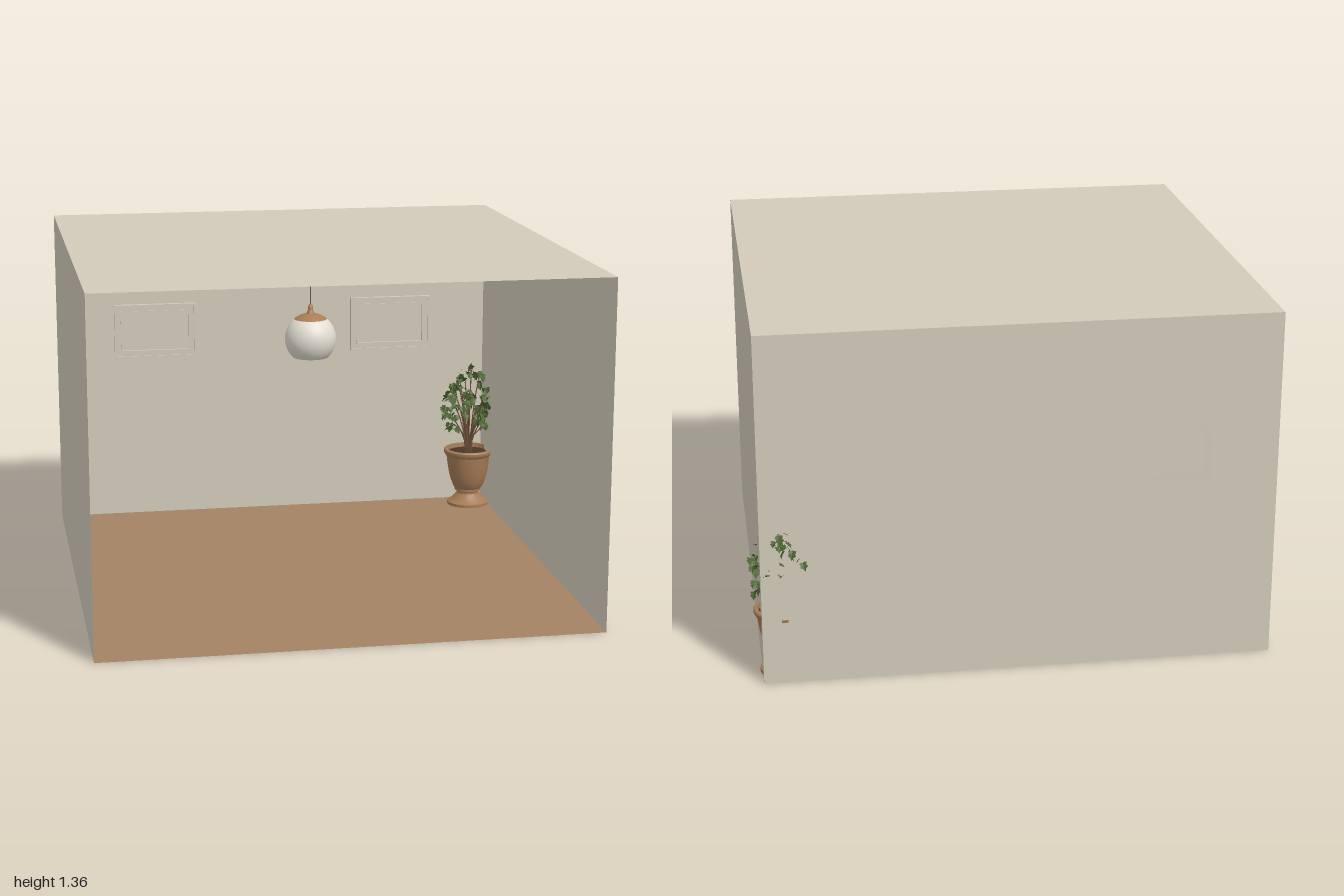
import * as THREE from 'three';
import { mergeGeometries, toCreasedNormals } from 'three/addons/utils/BufferGeometryUtils.js';

const mat = (name, color, side = THREE.FrontSide) => {
  const m = new THREE.MeshStandardMaterial({ color, side });
  m.name = name;
  return m;
};

const X0 = -0.98, X1 = 0.945, Z0 = -0.93, Z1 = 1, H = 1.355;

export function createModel() {
  const group = new THREE.Group();
  const wall = mat('wall plaster', 0xd2cbbb, THREE.DoubleSide);
  const wood = mat('floor wood', 0xa48262, THREE.DoubleSide);
  const moulding = mat('frame moulding', 0xd0cabb);
  const glass = mat('lamp glass', 0xe2ded2, THREE.DoubleSide);
  const copper = mat('lamp copper', 0xa97c55);
  const cordMat = mat('lamp cord', 0x6b5a4a);
  const clay = mat('terracotta', 0xa67c57, THREE.DoubleSide);
  const soilMat = mat('soil', 0x4a3626);
  const bark = mat('bark', 0x6e4f37);
  const leafMat = mat('leaf green', 0x4b6332, THREE.DoubleSide);

  const add = (name, geo, material, parent = group) => {
    const m = new THREE.Mesh(geo, material);
    m.name = name;
    parent.add(m);
    return m;
  };
  const sub = (name, x, y, z) => {
    const g = new THREE.Group();
    g.name = name;
    g.position.set(x, y, z);
    group.add(g);
    return g;
  };
  const lathe = (pts, seg = 40) => toCreasedNormals(
    new THREE.LatheGeometry(pts.map(p => new THREE.Vector2(...p)), seg), 0.6);

  // Room shell, open at the front
  const W = X1 - X0, D = Z1 - Z0, cx = (X0 + X1) / 2, cz = (Z0 + Z1) / 2;
  const panel = (name, w, h, pos, rx, ry, material) => {
    const m = add(name, new THREE.PlaneGeometry(w, h), material);
    m.position.set(...pos);
    m.rotation.set(rx, ry, 0);
  };
  panel('floor', W, D, [cx, 0, cz], -Math.PI / 2, 0, wood);
  panel('ceiling', W, D, [cx, H, cz], Math.PI / 2, 0, wall);
  panel('backWall', W, H, [cx, H / 2, Z0], 0, 0, wall);
  panel('leftWall', D, H, [X1, H / 2, cz], 0, -Math.PI / 2, wall);
  panel('rightWall', D, H, [X0, H / 2, cz], 0, Math.PI / 2, wall);

  // Stepped picture frames on the back wall
  const ring = (w, h, t, depth) => {
    const rect = (s, a, b) => s.moveTo(-a, -b).lineTo(a, -b).lineTo(a, b).lineTo(-a, b).closePath();
    const s = rect(new THREE.Shape(), w / 2, h / 2);
    s.holes.push(rect(new THREE.Path(), w / 2 - t, h / 2 - t));
    return new THREE.ExtrudeGeometry(s, { depth, bevelEnabled: false });
  };
  for (const x of [-0.548, 0.512]) {
    const f = sub('pictureFrame', x, 0.832, Z0);
    add('outerLip', ring(0.362, 0.24, 0.01, 0.02), moulding, f);
    add('frameBody', ring(0.342, 0.22, 0.018, 0.014), moulding, f);
    add('innerLip', ring(0.306, 0.184, 0.007, 0.018), moulding, f);
    add('picturePanel', new THREE.BoxGeometry(0.293, 0.171, 0.005), wall, f).position.z = 0.0035;
  }

  // Pendant lamp
  const lamp = sub('pendantLamp', cx, 0, cz);
  const R = 0.103, cut = 0.68;
  add('globeShade', new THREE.SphereGeometry(R, 40, 24, 0, Math.PI * 2, cut, 2.386 - cut), glass, lamp).position.y = 0.97;
  add('globeCap', new THREE.SphereGeometry(R + 0.001, 40, 8, 0, Math.PI * 2, 0, cut), copper, lamp).position.y = 0.97;
  add('socket', lathe([[0.018, 1.068], [0.014, 1.08], [0.011, 1.085], [0.011, 1.1], [0.004, 1.112], [0, 1.112]], 20), copper, lamp);
  add('cord', new THREE.CylinderGeometry(0.002, 0.002, 0.24, 8), cordMat, lamp).position.y = 1.225;
  add('ceilingRose', lathe([[0, 1.332], [0.008, 1.335], [0.012, 1.342], [0.03, 1.347], [0.033, 1.353]], 24), copper, lamp);

  // Urn planter
  const px = 0.86, pz = -0.82;
  const plant = sub('pottedPlant', px, 0, pz);
  add('pot', lathe([
    [0, 0.001], [0.093, 0.001], [0.093, 0.014], [0.084, 0.018], [0.062, 0.038], [0.05, 0.054], [0.05, 0.062],
    [0.059, 0.067], [0.059, 0.077], [0.066, 0.085], [0.078, 0.115], [0.087, 0.15], [0.094, 0.19],
    [0.099, 0.23], [0.106, 0.235], [0.111, 0.245], [0.111, 0.255], [0.107, 0.26], [0.096, 0.26], [0.093, 0.235],
  ]), clay, plant);
  const soil = add('soil', new THREE.CircleGeometry(0.094, 32), soilMat, plant);
  soil.rotation.x = -Math.PI / 2;
  soil.position.y = 0.242;

  // Branch tips: offsets from the pot axis
  const tips = [
    [0.092, 0.36, -0.02], [0.095, 0.435, 0.025], [0.092, 0.435, -0.045], [0.01, 0.585, -0.135],
    [-0.02, 0.55, -0.1], [0.03, 0.47, -0.1], [-0.05, 0.51, -0.09], [-0.115, 0.44, 0.01],
    [-0.09, 0.39, 0.04], [0.01, 0.62, -0.01], [-0.06, 0.58, 0.02], [0.05, 0.585, -0.02],
    [0.075, 0.53, 0.03], [-0.02, 0.52, 0.08], [0.03, 0.44, 0.09], [-0.06, 0.46, 0.07],
    [0.0, 0.5, 0.0], [-0.08, 0.49, -0.03], [0.04, 0.4, 0.05], [0.05, 0.49, 0.07],
  ];
  let seed = 7;
  const rnd = () => (seed = (seed * 16807) % 2147483647) / 2147483647;
  const spread = a => (rnd() - 0.5) * 2 * a;

  // Pointed, lobed leaf folded along the midrib
  const outline = [[0, 0], [0.4, 0.12], [0.3, 0.42], [0.42, 0.58], [0.15, 0.75], [0, 1]];
  const leafPos = [];
  for (const s of [-1, 1]) {
    for (let i = 1; i < outline.length - 1; i++) {
      const [a, b] = s > 0 ? [i, i + 1] : [i + 1, i];
      for (const [x, z] of [[0, 0.35], outline[b], outline[a]]) leafPos.push(x * s, Math.abs(x) * 0.35 - z * z * 0.25, z);
    }
    const [p, q] = s > 0 ? [outline[1], outline[0]] : [outline[0], outline[1]];
    for (const [x, z] of [[0, 0.35], p, q]) leafPos.push(x * s, Math.abs(x) * 0.35 - z * z * 0.25, z);
  }
  const leaf = new THREE.BufferGeometry();
  leaf.setAttribute('position', new THREE.Float32BufferAttribute(leafPos, 3));
  leaf.computeVertexNormals();

  const branches = [], leaves = [], dummy = new THREE.Object3D();
  dummy.rotation.order = 'YXZ';
  for (const [x, y, z] of tips) {
    const curve = new THREE.CatmullRomCurve3([
      new THREE.Vector3(x * 0.12, 0.24, z * 0.12),
      new THREE.Vector3(x * 0.2, 0.31, z * 0.2),
      new THREE.Vector3(x * 0.6, 0.31 + (y - 0.31) * 0.65, z * 0.6),
      new THREE.Vector3(x, y, z),
    ]);
    branches.push(new THREE.TubeGeometry(curve, 8, 0.0028, 5));
    for (let i = 0; i < 9; i++) {
      dummy.position.set(x + spread(0.022), y + spread(0.03), z + spread(0.022));
      dummy.rotation.set(0.2 + rnd() * 0.9, Math.atan2(x, z) + spread(2.2), spread(0.5));
      dummy.scale.setScalar(0.026 + rnd() * 0.014);
      dummy.updateMatrix();
      leaves.push(leaf.clone().applyMatrix4(dummy.matrix));
    }
  }
  // Main stems
  for (const [x, z] of [[-0.035, 0.01], [0.035, 0.005], [0, -0.03]]) {
    const stem = new THREE.QuadraticBezierCurve3(
      new THREE.Vector3(0, 0.24, 0), new THREE.Vector3(x * 0.2, 0.32, z * 0.2), new THREE.Vector3(x, 0.45, z));
    branches.push(new THREE.TubeGeometry(stem, 8, 0.0055, 6));
  }
  add('branches', mergeGeometries(branches), bark, plant);
  add('leaves', mergeGeometries(leaves), leafMat, plant);

  return group;
}
